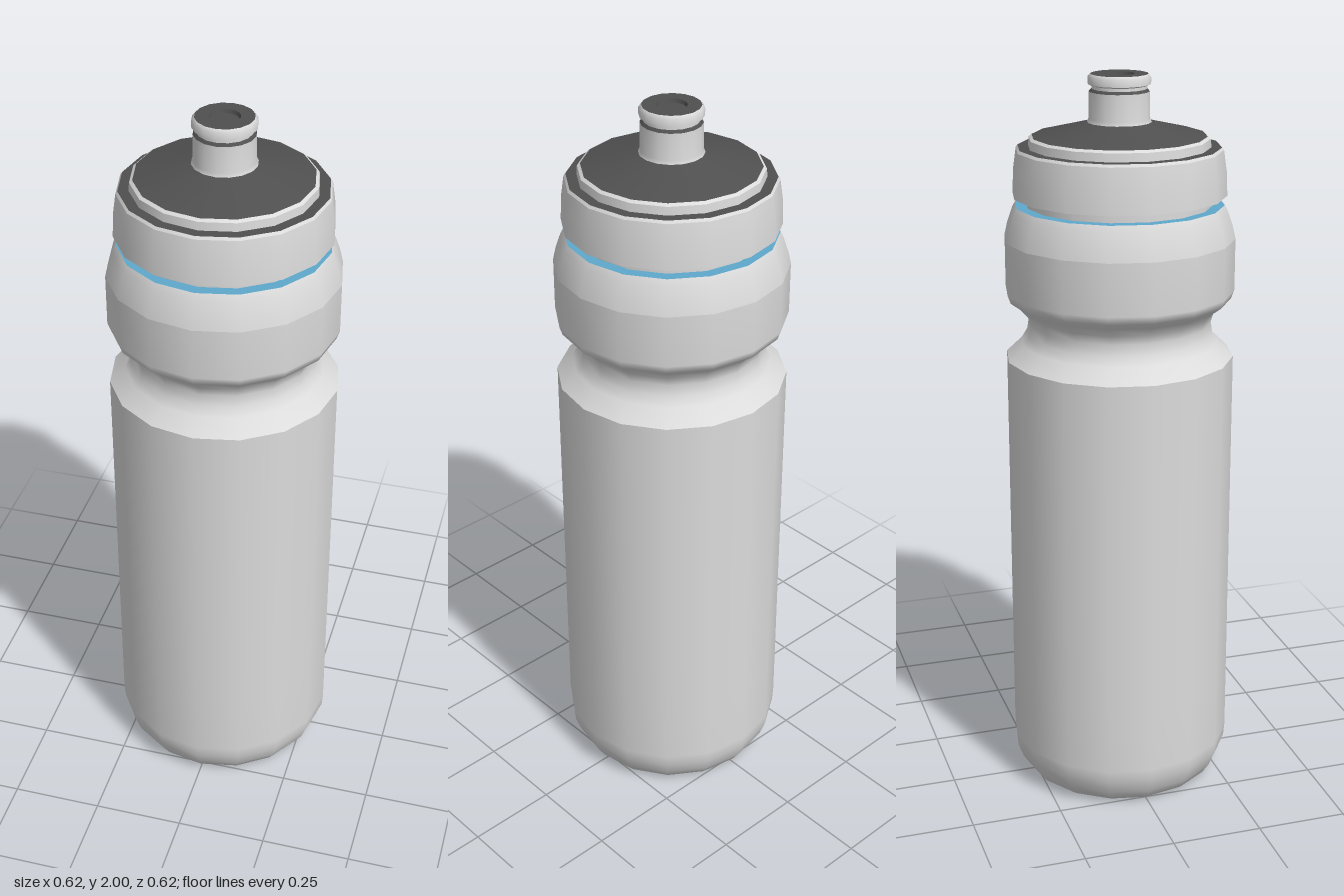
import * as THREE from 'three';

const SIDES = 16;

export function createModel() {
  const model = new THREE.Group();
  model.name = 'sportsBottle';

  const mat = (name, color) => {
    const m = new THREE.MeshStandardMaterial({ color });
    m.name = name;
    return m;
  };
  const white = mat('lightPlastic', 0xdcdcdc);
  const dark = mat('darkPlastic', 0x505050);
  const blue = mat('bluePlastic', 0x5fa8cc);

  // Each band is a smooth surface of revolution; separate bands meet in a crease.
  function band(parent, name, material, points) {
    const profile = points.map(([r, y]) => new THREE.Vector2(r, y));
    const mesh = new THREE.Mesh(new THREE.LatheGeometry(profile, SIDES), material);
    mesh.name = name;
    parent.add(mesh);
  }
  function group(name) {
    const g = new THREE.Group();
    g.name = name;
    model.add(g);
    return g;
  }

  // Bottle body, with a recessed base and a grip waist
  const body = group('body');
  band(body, 'baseFloor', blue, [[0, 0.04], [0.2, 0.04]]);
  band(body, 'baseSlope', blue, [[0.2, 0.04], [0.25, 0]]);
  band(body, 'lowerCorner', white, [
    [0.25, 0], [0.272, 0.015], [0.292, 0.045], [0.307, 0.085], [0.31, 0.12], [0.31, 0.3],
  ]);
  band(body, 'lowerWall', white, [[0.31, 0.3], [0.31, 1.245]]);
  band(body, 'gripWaist', white, [
    [0.31, 1.245], [0.268, 1.285], [0.253, 1.31], [0.248, 1.34], [0.255, 1.365],
    [0.275, 1.388], [0.302, 1.408], [0.31, 1.43], [0.31, 1.57],
  ]);
  band(body, 'shoulder', white, [[0.31, 1.57], [0.302, 1.605], [0.288, 1.645], [0.28, 1.66]]);
  band(body, 'shoulderRing', blue, [[0.28, 1.66], [0.25, 1.66]]);
  band(body, 'neck', white, [[0.25, 1.66], [0.25, 1.69]]);

  // Screw cap
  const cap = group('cap');
  band(cap, 'capUnderside', dark, [[0.245, 1.685], [0.286, 1.685]]);
  band(cap, 'capWall', white, [[0.286, 1.685], [0.283, 1.75], [0.275, 1.805]]);
  band(cap, 'capEdge', white, [[0.275, 1.805], [0.27, 1.812]]);
  band(cap, 'capLedge', dark, [[0.27, 1.812], [0.242, 1.812]]);
  band(cap, 'lidRim', white, [[0.242, 1.812], [0.24, 1.834]]);
  band(cap, 'lidRimEdge', white, [[0.24, 1.834], [0.232, 1.84]]);
  band(cap, 'lidCone', dark, [[0.232, 1.84], [0.084, 1.876]]);

  // Drinking spout
  const spout = group('spout');
  band(spout, 'spoutTube', white, [[0.087, 1.872], [0.081, 1.885], [0.08, 1.955]]);
  band(spout, 'spoutTubeTop', dark, [[0.08, 1.955], [0.073, 1.962]]);
  band(spout, 'spoutGroove', white, [[0.073, 1.962], [0.073, 1.97]]);
  band(spout, 'spoutLipBottom', white, [[0.073, 1.97], [0.083, 1.974]]);
  band(spout, 'spoutLip', white, [[0.083, 1.974], [0.083, 1.992], [0.076, 2]]);
  band(spout, 'spoutTop', dark, [[0.076, 2], [0.04, 2]]);
  band(spout, 'spoutHoleWall', dark, [[0.04, 2], [0.037, 1.99]]);
  band(spout, 'spoutHoleFloor', dark, [[0.037, 1.99], [0, 1.99]]);

  return model;
}
